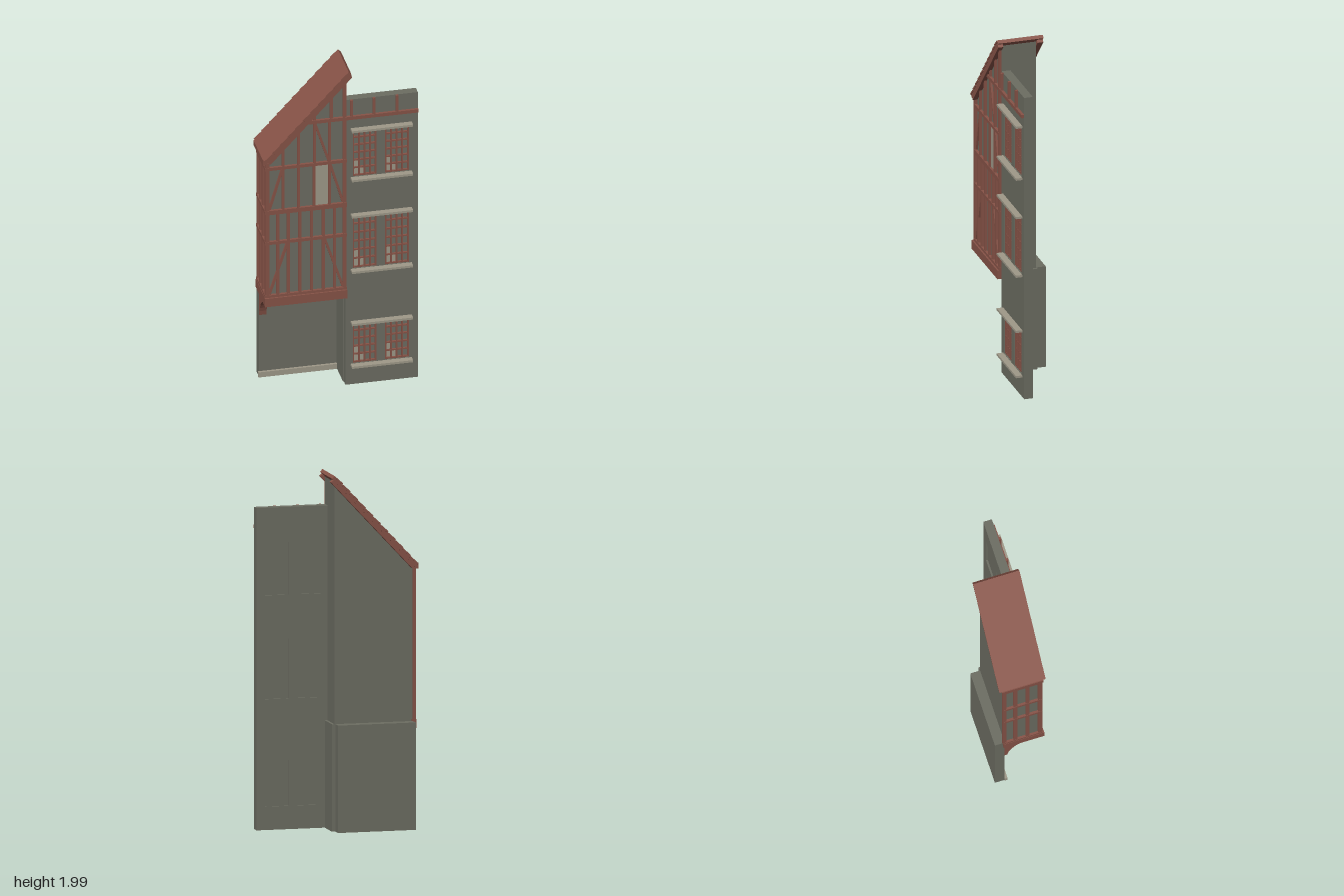
import * as THREE from 'three';

const mat = (name, color) => {
  const m = new THREE.MeshStandardMaterial({ color });
  m.name = name;
  return m;
};

export function createModel() {
  const plaster = mat('grey plaster', 0x6c6d62);
  const timber = mat('brown timber', 0x875347);
  const stone = mat('pale stone', 0x9f9989);
  const root = new THREE.Group();
  root.name = 'townhouseFacade';

  const group = (name, parent = root) => {
    const g = new THREE.Group();
    g.name = name;
    parent.add(g);
    return g;
  };
  // Box given by its minimum and maximum on each axis
  const box = (name, m, x0, x1, y0, y1, z0, z1, parent = root) => {
    const mesh = new THREE.Mesh(new THREE.BoxGeometry(x1 - x0, y1 - y0, z1 - z0), m);
    mesh.position.set((x0 + x1) / 2, (y0 + y1) / 2, (z0 + z1) / 2);
    mesh.name = name;
    parent.add(mesh);
    return mesh;
  };
  const extrude = (name, m, shape, depth, z) => {
    const geo = new THREE.ExtrudeGeometry(shape, { depth, bevelEnabled: false, curveSegments: 10 });
    const mesh = new THREE.Mesh(geo, m);
    mesh.position.z = z;
    mesh.name = name;
    root.add(mesh);
    return mesh;
  };
  const polygon = (pts) => new THREE.Shape(pts.map(([x, y]) => new THREE.Vector2(x, y)));

  // Ground floor, set back under the upper storeys
  box('groundFloorWall', plaster, -0.415, 0.03, 0, 0.6, -0.147, -0.09);
  box('groundFloorSideWall', plaster, 0.025, 0.05, 0, 0.6, -0.092, 0.07);
  box('groundPlinth', stone, -0.42, 0.025, 0, 0.032, -0.091, -0.075);

  // Upper storeys with a one-sided gable
  const slope = 1.073;
  const roofY = (x) => 1.955 + (x - 0.035) * slope;
  extrude('upperStoreys', plaster, polygon([
    [-0.415, 0.565], [0.035, 0.565], [0.035, 1.955], [-0.415, roofY(-0.415)],
  ]), 0.2, -0.09);

  // Right wing: a thin wall with six window openings
  const floors = [[0.13, 0.385, 5], [0.73, 1.065, 6], [1.31, 1.605, 6]];
  const columns = [[0.073, 0.207], [0.255, 0.39]];
  const wall = polygon([[0.03, 0], [0.44, 0], [0.44, 1.8], [0.03, 1.8]]);
  for (const [y0, y1] of floors) for (const [x0, x1] of columns) {
    wall.holes.push(polygon([[x0, y0], [x0, y1], [x1, y1], [x1, y0]]));
  }
  extrude('rightWingWall', plaster, wall, 0.05, 0.06);

  // Windows: recessed panel, pale panes and glazing bars
  for (const [y0, y1, rows] of floors) {
    for (const [x0, x1] of columns) {
      const win = group('window');
      box('windowPanel', plaster, x0, x1, y0, y1, 0.07, 0.09, win);
      const w = (x1 - x0) / 4, h = (y1 - y0) / rows;
      for (const [c, r] of [[0, 0], [0, 1], [1, 0]]) {
        box('palePane', stone, x0 + c * w, x0 + (c + 1) * w, y0 + r * h, y0 + (r + 1) * h, 0.0895, 0.093, win);
      }
      for (let c = 0; c <= 4; c++) {
        const x = x0 + 0.004 + (x1 - x0 - 0.008) * c / 4;
        box('uprightBar', timber, x - 0.004, x + 0.004, y0, y1, 0.09, 0.104, win);
      }
      for (let r = 0; r <= rows; r++) {
        const y = y0 + 0.004 + (y1 - y0 - 0.008) * r / rows;
        box('crossBar', timber, x0, x1, y - 0.004, y + 0.004, 0.09, 0.102, win);
      }
    }
    box('windowSill', stone, 0.06, 0.405, y0 - 0.014, y0 - 0.001, 0.108, 0.147);
    box('windowLintel', stone, 0.06, 0.405, y1 + 0.001, y1 + 0.014, 0.108, 0.147);
  }

  // Front timber framing
  const frame = group('frontTimberFrame');
  const post = (x, y0, y1, w = 0.015) =>
    box('post', timber, x - w / 2, x + w / 2, y0, y1, 0.108, 0.124, frame);
  const rail = (x0, x1, y, h = 0.018) =>
    box('rail', timber, x0, x1, y - h / 2, y + h / 2, 0.108, 0.126, frame);
  const brace = (xa, ya, xb, yb) => {
    const len = Math.hypot(xb - xa, yb - ya);
    const b = box('brace', timber, -0.007, 0.007, -len / 2, len / 2, 0.108, 0.122, frame);
    b.position.set((xa + xb) / 2, (ya + yb) / 2, 0.115);
    b.rotation.z = Math.atan2(yb - ya, xb - xa) - Math.PI / 2;
  };
  post(-0.415, 0.6, 1.46, 0.022);
  post(0.024, 0.6, 1.93, 0.02);
  rail(-0.42, 0.035, 0.618);
  rail(-0.42, 0.035, 0.955);
  rail(-0.425, 0.035, 1.147, 0.026);
  rail(-0.42, 0.035, 1.423);
  rail(-0.205, 0.44, 1.69, 0.02);
  for (const x of [-0.355, -0.295, -0.23, -0.163, -0.097, -0.033]) {
    post(x, 0.955, 1.14);
    post(x, 0.618, 0.955);
  }
  for (const x of [-0.325, -0.238, -0.15, -0.062]) post(x, 1.147, 1.423);
  for (const x of [-0.325, -0.238, -0.147]) post(x, 1.423, roofY(x) - 0.01);
  post(-0.062, 1.423, 1.69);
  post(-0.052, 1.69, roofY(-0.052) - 0.01);
  for (const x of [0.062, 0.19, 0.32]) post(x, 1.69, 1.8);
  brace(-0.145, 1.68, -0.065, 1.43);
  brace(-0.33, 1.41, -0.402, 1.165);
  brace(-0.058, 1.41, 0.014, 1.165);
  brace(-0.3, 0.945, -0.402, 0.63);
  brace(-0.09, 0.945, 0.014, 0.63);
  box('palePanel', stone, -0.143, -0.07, 1.16, 1.414, 0.109, 0.114);

  // Timber framing on the outer side
  const side = group('sideTimberFrame');
  for (const z of [-0.093, -0.03, 0.04, 0.112]) {
    box('sidePost', timber, -0.426, -0.41, 0.6, 1.465, z - 0.011, z + 0.011, side);
  }
  for (const y of [0.618, 0.955, 1.147, 1.423]) {
    box('sideRail', timber, -0.428, -0.41, y - 0.01, y + 0.01, -0.1, 0.124, side);
  }

  // Overhang beams and curved bracket
  box('frontOverhangBeam', timber, -0.43, 0.035, 0.56, 0.612, 0.105, 0.135);
  box('sideOverhangBeam', timber, -0.43, -0.405, 0.56, 0.612, -0.1, 0.135);
  const curve = new THREE.Shape();
  curve.moveTo(-0.092, 0.395);
  curve.lineTo(-0.075, 0.395);
  curve.quadraticCurveTo(-0.06, 0.535, 0.115, 0.555);
  curve.lineTo(0.115, 0.57);
  curve.lineTo(-0.092, 0.57);
  const bracket = extrude('curvedBracket', timber, curve, 0.04, 0);
  bracket.rotation.y = -Math.PI / 2;
  bracket.position.x = -0.375;

  // Roof: deck, overlapping boards and gable trims, in a sloped frame
  const roof = group('roof');
  roof.position.set(-0.437, 1.487, 0);
  roof.rotation.z = Math.atan(slope);
  const length = 0.695;
  box('roofDeck', timber, 0, length, -0.028, -0.012, -0.125, 0.138, roof);
  const boards = 11, step = length / boards;
  for (let i = 0; i < boards; i++) {
    const b = box('roofBoard', timber, i * step, i * step + step + (i < boards - 1 ? 0.004 : 0), -0.014, -0.004, -0.127, 0.141, roof);
    b.rotation.z = -0.09;
  }
  box('frontGableTrim', timber, 0.005, length - 0.012, -0.046, -0.012, 0.109, 0.138, roof);
  box('backGableTrim', timber, 0.005, length - 0.012, -0.046, -0.012, -0.123, -0.089, roof);
  box('eavesBoard', timber, -0.44, -0.415, 1.455, 1.484, -0.112, 0.126);

  return root;
}
